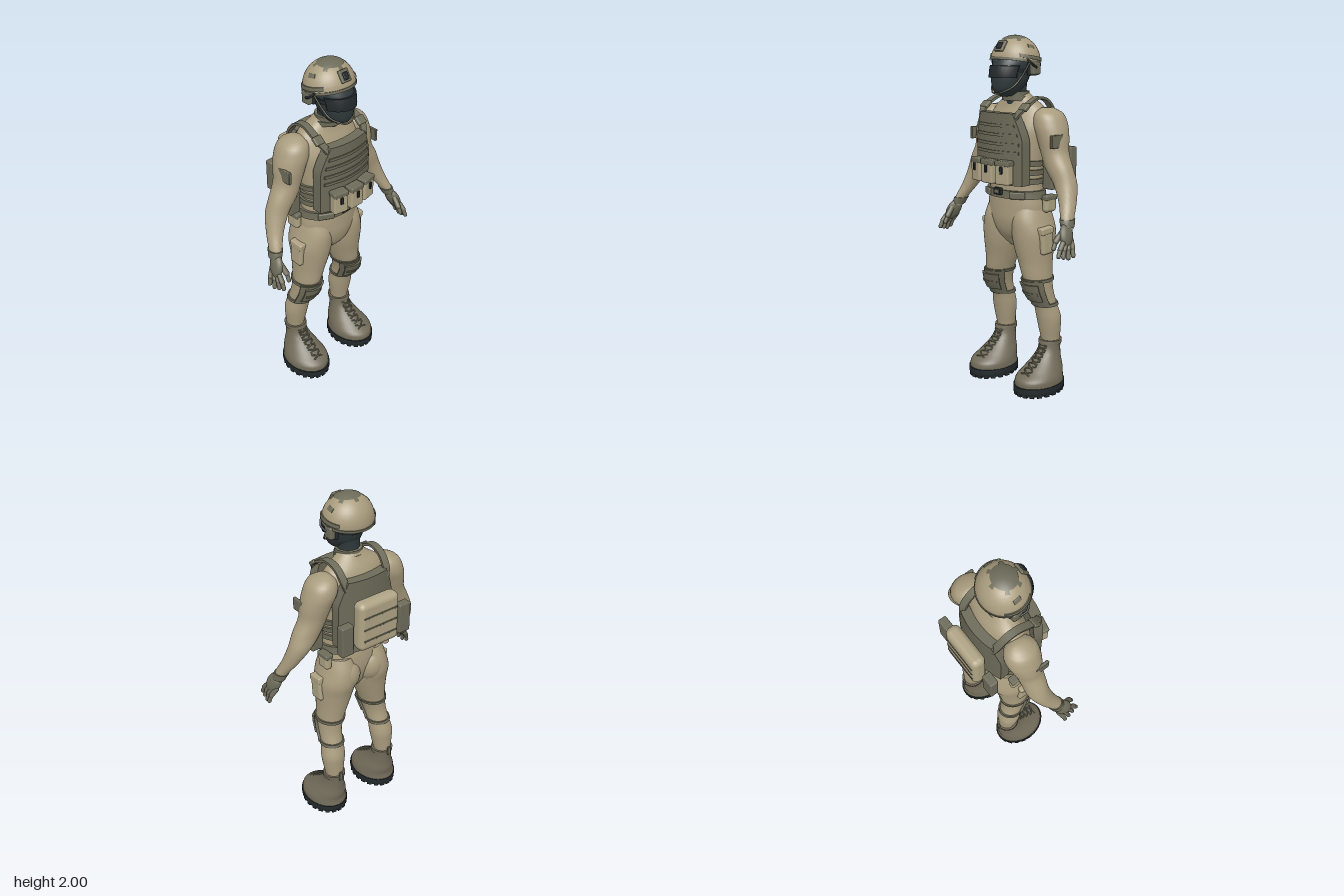
import * as THREE from 'three';
import { toCreasedNormals } from 'three/addons/utils/BufferGeometryUtils.js';
import { RoundedBoxGeometry } from 'three/addons/geometries/RoundedBoxGeometry.js';

const mat = (name, color) => Object.assign(new THREE.MeshStandardMaterial({ color }), { name });
const V = (x, y, z) => new THREE.Vector3(x, y, z);

// Cross-sections, bottom to top: [y, centre x, centre z, radius x, radius z]
const TORSO = [[.83, 0, 0, .04, .05], [.9, 0, .012, .12, .1], [.98, 0, .013, .18, .125], [1.06, 0, .013, .192, .128],
  [1.15, 0, .018, .178, .122], [1.22, 0, .02, .175, .12], [1.32, 0, .015, .185, .125], [1.42, 0, .008, .2, .125],
  [1.5, 0, 0, .212, .122], [1.57, 0, -.01, .2, .105], [1.62, 0, -.012, .165, .085], [1.66, 0, -.002, .105, .068], [1.7, 0, .01, .06, .055]];
const LEG = [[.2, .187, -.075, .05, .05], [.28, .187, -.075, .054, .055], [.36, .186, -.068, .066, .064], [.42, .184, -.062, .072, .07],
  [.5, .176, -.042, .065, .068], [.58, .168, -.012, .067, .078], [.66, .155, 0, .078, .09], [.75, .138, 0, .092, .103],
  [.84, .125, 0, .108, .12], [.92, .118, -.005, .115, .135], [1, .11, -.002, .1, .132], [1.08, .1, 0, .085, .105]];
const ARM = [[1, .45, .075, .025, .035], [1.05, .433, .06, .033, .04], [1.13, .397, .02, .047, .05], [1.22, .352, -.008, .067, .062],
  [1.3, .305, -.01, .083, .068], [1.38, .267, -.015, .08, .075], [1.46, .247, -.02, .087, .09], [1.53, .224, -.025, .09, .098],
  [1.59, .21, -.025, .07, .08], [1.618, .197, -.025, .025, .035]];
const BOOT = [[.05, .193, .022, .122, .16], [.09, .193, .02, .118, .152], [.13, .19, -.012, .1, .125],
  [.18, .188, -.043, .076, .09], [.23, .187, -.065, .062, .068], [.285, .187, -.075, .06, .061]];
const HEAD = [[1.675, 0, .09, .03, .04], [1.7, 0, .09, .065, .075], [1.75, 0, .07, .09, .107],
  [1.81, 0, .057, .099, .118], [1.87, 0, .035, .102, .118], [1.93, 0, .03, .07, .08]];
const NECK = [[1.62, 0, .01, .066, .06], [1.7, 0, .02, .06, .058], [1.8, 0, .025, .07, .07]];
const HELMET = [0, .1, .25, .45, .65, .82, .94, .99].map(t => [.142 * t, 0, 0, .144 * Math.sqrt(1 - t * t), .132 * Math.sqrt(1 - t * t)]);
const mirror = (rings, s) => rings.map(([y, x, ...r]) => [y, x * s, ...r]);

// Smoothly interpolated cross-section at height y
function sample(rings, y) {
  let i = 0;
  while (i < rings.length - 2 && y > rings[i + 1][0]) i++;
  const a = rings[i], b = rings[i + 1], p = rings[i - 1] || a, q = rings[i + 2] || b;
  const h = b[0] - a[0], t = (y - a[0]) / h, u = 1 - t;
  return a.map((v, k) => k === 0 ? y : v * (1 + 2 * t) * u * u + b[k] * t * t * (3 - 2 * t)
    + h * t * u * (u * (b[k] - p[k]) / (b[0] - p[0]) - t * (q[k] - a[k]) / (q[0] - a[0])));
}

// Skin over rows of ellipses; an arc narrower than a full turn tapers to zero thickness at its ends
function skin(rows, { cap = false, from = 0, to = Math.PI * 2, seg = 36 } = {}) {
  const pos = [], idx = [], n = seg + 1, arc = to - from < 6.2;
  for (const [y, cx, cz, rx, rz, off = 0] of rows) for (let j = 0; j < n; j++) {
    const a = from + (to - from) * j / seg, o = arc && (j === 0 || j === seg) ? 0 : off;
    pos.push(cx + (rx + o) * Math.sin(a), y, cz + (rz + o) * Math.cos(a));
  }
  for (let i = 0; i < rows.length - 1; i++) for (let j = 0; j < seg; j++) {
    const a = i * n + j;
    idx.push(a, a + 1, a + n, a + 1, a + n + 1, a + n);
  }
  if (cap) [0, rows.length - 1].forEach((r, top) => {
    const c = pos.length / 3;
    pos.push(rows[r][1], rows[r][0], rows[r][2]);
    for (let j = 0; j < seg; j++) idx.push(c, r * n + j + (top ? 0 : 1), r * n + j + (top ? 1 : 0));
  });
  const g = new THREE.BufferGeometry();
  g.setAttribute('position', new THREE.Float32BufferAttribute(pos, 3));
  g.setIndex(idx);
  return toCreasedNormals(g, .9);
}
function loft(rings, steps = 40) {
  const y0 = rings[0][0], y1 = rings[rings.length - 1][0];
  return skin(Array.from({ length: steps + 1 }, (_, i) => sample(rings, y0 + (y1 - y0) * i / steps)), { cap: true });
}
// Band of cloth or webbing wrapped around a lofted part
function wrap(rings, y0, y1, off, from, to) {
  const rows = [[...sample(rings, y0), 0]];
  for (let i = 0; i <= 6; i++) rows.push([...sample(rings, y0 + (y1 - y0) * i / 6), off]);
  rows.push([...sample(rings, y1), 0]);
  return skin(rows, { from, to });
}
// Box bent around the body, with half width given by height
function bentPlate(y0, y1, z, depth, half, bend) {
  const g = new THREE.BoxGeometry(2, y1 - y0, depth, 14, 14, 1), p = g.attributes.position;
  for (let i = 0; i < p.count; i++) {
    const y = p.getY(i) + (y0 + y1) / 2, x = p.getX(i) * half(y);
    p.setXYZ(i, x, y, p.getZ(i) + z - bend * x * x);
  }
  return toCreasedNormals(g, .6);
}
// Flat strap whose width runs along x
function strap(points, w, t) {
  const c = new THREE.CatmullRomCurve3(points), pos = [], idx = [], N = 28;
  for (let i = 0; i <= N; i++) {
    const p = c.getPoint(i / N), d = c.getTangent(i / N), l = Math.hypot(d.y, d.z), ny = -d.z / l, nz = d.y / l;
    for (const [a, b] of [[-1, -1], [1, -1], [1, 1], [-1, 1]]) pos.push(p.x + a * w / 2, p.y + b * ny * t / 2, p.z + b * nz * t / 2);
    if (i) for (let k = 0; k < 4; k++) {
      const a = (i - 1) * 4 + k, b = (i - 1) * 4 + (k + 1) % 4;
      idx.push(a, a + 4, b, b, a + 4, b + 4);
    }
  }
  const g = new THREE.BufferGeometry();
  g.setAttribute('position', new THREE.Float32BufferAttribute(pos, 3));
  g.setIndex(idx);
  return toCreasedNormals(g, .6);
}
const tube = (pts, r) => new THREE.TubeGeometry(new THREE.CatmullRomCurve3(pts), 20, r, 6);
const rbox = (w, h, d, r = .01) => new RoundedBoxGeometry(w, h, d, 3, r);

export function createModel() {
  const khaki = mat('khaki cloth', 0xa99c7e), tan = mat('tan pouch', 0xaea384), olive = mat('olive webbing', 0x6d6b59);
  const boot = mat('boot suede', 0x716b59), dark = mat('dark balaclava', 0x30393c), black = mat('black rubber', 0x23292b);
  const strapMat = mat('olive strap', 0x6d6b59);
  strapMat.side = THREE.DoubleSide;
  const model = new THREE.Group();
  const add = (name, geo, m, [x, y, z] = [0, 0, 0], [a, b, c] = [0, 0, 0], parent = model) => {
    const o = new THREE.Mesh(geo, m);
    o.name = name;
    o.position.set(x, y, z);
    o.rotation.set(a, b, c);
    parent.add(o);
    return o;
  };
  const capsule = (name, p, q, r, m) => {
    const o = add(name, new THREE.CapsuleGeometry(r, p.distanceTo(q), 5, 10), m, p.clone().lerp(q, .5).toArray());
    o.quaternion.setFromUnitVectors(V(0, 1, 0), q.clone().sub(p).normalize());
  };

  // Body, neck and head
  add('torso', loft(TORSO, 60), khaki);
  add('neck', loft(NECK), dark);
  add('balaclava', loft(HEAD), dark);
  add('collar', wrap(NECK, 1.65, 1.675, .022), olive);
  add('collarRoll', wrap(NECK, 1.675, 1.7, .015), olive);
  add('goggles', wrap(HEAD, 1.775, 1.84, .011, -1.25, 1.25), black);
  add('goggleStrap', wrap(HEAD, 1.8, 1.825, .005), black);

  // Helmet
  const helmet = new THREE.Group();
  helmet.name = 'helmet';
  helmet.position.set(0, 1.858, .025);
  helmet.rotation.x = -.16;
  model.add(helmet);
  const onHelmet = (name, geo, m, p, r) => add(name, geo, m, p, r, helmet);
  onHelmet('helmetShell', loft(HELMET), khaki);
  onHelmet('helmetRim', wrap(HELMET, -.006, .008, .004), olive);
  for (const s of [1, -1]) {
    onHelmet('helmetRail', wrap(HELMET, .014, .034, .006, s * 1.55 - .65, s * 1.55 + .65), olive);
    onHelmet('helmetSidePatch', wrap(HELMET, .075, .092, .003, s * 1.5 - .2, s * 1.5 + .2), olive);
  }
  onHelmet('mountPlate', rbox(.062, .066, .016, .005), olive, [0, .067, .12], [-.42, 0, 0]);
  onHelmet('mountSocket', rbox(.034, .04, .012, .004), black, [0, .068, .129], [-.42, 0, 0]);
  const crown = new THREE.Group();
  crown.name = 'crownPatch';
  crown.scale.set(.146, .144, .134);
  crown.rotation.x = .2;
  helmet.add(crown);
  add('patchDisc', new THREE.SphereGeometry(1, 24, 6, 0, Math.PI * 2, 0, .52), olive, [0, 0, 0], [0, 0, 0], crown);
  for (let i = 0; i < 6; i++) add('patchTab', new THREE.SphereGeometry(1, 4, 3, i * 1.047 + .4, .3, .5, .16), olive, [0, 0, 0], [0, 0, 0], crown);

  // Plate carrier, front and back
  const chest = y => y < 1.44 ? .182 : .182 - .055 * Math.pow((y - 1.44) / .15, 1.3);
  add('frontPlate', bentPlate(1.2, 1.59, .16, .058, chest, 1.2), olive);
  add('backPlate', bentPlate(1.2, 1.59, -.138, .056, chest, -1.2), olive);
  for (const y of [1.37, 1.415, 1.465, 1.515]) add('chestWebbing', bentPlate(y, y + .016, .191, .008, v => chest(v) - .018, 1.2), olive);
  for (const y of [1.2, 1.25, 1.3]) add('cummerbund', wrap(TORSO, y, y + .03, .013), olive);
  for (const i of [-1, 0, 1]) {
    const r = [0, i * .2, 0], at = (y, z) => [i * (.098 + (z - .2) * .2), y, z - Math.abs(i) * .014];
    add('magazinePouch', rbox(.088, .125, .055), tan, at(1.272, .22), r);
    add('pouchFlap', rbox(.092, .03, .06, .008), olive, at(1.325, .22), r);
    add('pouchClip', rbox(.016, .04, .01, .003), black, at(1.29, .251), r);
  }

  // Back pack
  add('backPack', rbox(.265, .29, .085, .034), tan, [0, 1.358, -.217]);
  for (const y of [1.28, 1.35, 1.42]) add('packWebbing', rbox(.22, .01, .008, .003), olive, [0, y, -.259]);

  // Belt
  add('belt', wrap(TORSO, 1.118, 1.162, .014), olive);
  add('beltBuckle', rbox(.058, .04, .02, .005), black, [0, 1.155, .158]);
  add('buckleFace', rbox(.036, .02, .01, .003), olive, [0, 1.155, .166]);

  for (const s of [1, -1]) {
    const leg = mirror(LEG, s), arm = mirror(ARM, s), foot = mirror(BOOT, s), P = (x, y, z) => V(s * x, y, z);
    const put = (name, geo, m, [x, y, z], [a, b, c] = [0, 0, 0]) => add(name, geo, m, [s * x, y, z], [a, s * b, s * c]);

    // Head gear
    put('earCup', rbox(.036, .07, .058, .012), olive, [.132, 1.825, .003]);
    put('earCupPad', rbox(.025, .08, .066, .01), black, [.11, 1.825, .003]);
    add('headsetArm', tube([P(.15, 1.83, .01), P(.155, 1.85, .05), P(.14, 1.875, .07)], .006), black);
    add('chinStrap', tube([P(.13, 1.86, .04), P(.105, 1.78, .08), P(.085, 1.73, .12), P(.03, 1.695, .165), P(0, 1.692, .17)], .005), olive);

    // Shoulder straps and pouches
    add('shoulderStrap', strap([P(.125, 1.56, .16), P(.15, 1.605, .125), P(.155, 1.642, .07), P(.15, 1.668, 0),
      P(.146, 1.65, -.07), P(.14, 1.59, -.122), P(.125, 1.54, -.14)], .042, .014), strapMat);
    put('strapBuckle', rbox(.056, .05, .022, .006), olive, [.155, 1.622, .105], [-.85, 0, 0]);
    put('sidePouch', rbox(.075, .145, .09), olive, [.262, 1.255, -.005]);
    put('sidePouchFlap', rbox(.08, .03, .094, .006), olive, [.262, 1.32, -.005]);
    put('backPouch', rbox(.078, .18, .05, .008), olive, [.195, 1.3, -.205]);
    put('beltPouch', rbox(.09, .04, .026, .008), olive, [.115, 1.138, .122], [0, .5, 0]);
    put('hipPouch', rbox(.045, .09, .085, .02), tan, [.207, 1.085, -.035]);
    put('hipPouchFlap', rbox(.05, .028, .088, .008), olive, [.206, 1.122, -.035]);

    // Arm and gloved hand
    add('arm', loft(arm, 50), khaki);
    put('sleevePatch', rbox(.018, .07, .085, .004), olive, [.322, 1.447, .03]);
    add('gloveCuff', wrap(arm, 1.01, 1.05, .006), olive);
    const palm = put('palm', new THREE.SphereGeometry(1, 20, 14), olive, [.462, .975, .098], [-.45, 0, .35]);
    palm.scale.set(.027, .068, .047);
    for (let i = 0; i < 4; i++) {
      const z = .068 + i * .025, knuckle = P(.468 + i * .004, .945 - i * .002, z);
      const joint = P(.494 - i * .003, .905 + (i === 3 ? .006 : 0), z + .015 + i * .003), tip = P(.506 - i * .006, .86 + Math.abs(i - 1) * .008, z + .022 + i * .006);
      capsule('finger', knuckle, joint, .0145, olive);
      capsule('fingerTip', joint, tip, .012, olive);
    }
    capsule('thumb', P(.452, .99, .12), P(.445, .945, .16), .016, olive);
    capsule('thumbTip', P(.445, .945, .16), P(.447, .91, .178), .012, olive);

    // Leg, seat, pocket and knee pad
    add('leg', loft(leg, 60), khaki);
    put('seat', new THREE.SphereGeometry(1, 24, 18), khaki, [.085, .96, -.045]).scale.set(.09, .11, .098);
    put('thighPocket', rbox(.045, .15, .085, .016), tan, [.226, .885, .01], [.08, 0, 0]);
    put('pocketFlap', rbox(.05, .04, .09, .01), tan, [.227, .945, .014], [.08, 0, 0]);
    for (const y of [.645, .495]) add('kneeStrap', wrap(leg, y, y + .018, .008), olive);
    add('kneePad', wrap(leg, .5, .655, .014, -1.25, 1.25), olive);
    add('kneeShell', wrap(leg, .535, .635, .026, -.85, .85), olive);
    add('kneeRidge', wrap(leg, .575, .59, .031, -.7, .7), olive);

    // Boot with laces, sole and cleats
    add('boot', loft(foot), boot);
    add('bootCollar', wrap(foot, .262, .285, .006), boot);
    put('bootTab', rbox(.022, .06, .012, .004), boot, [.187, .285, -.142]);
    for (let i = 0; i < 7; i++) {
      const y = .115 + i * .023, at = (dx, dy) => {
        const [, cx, cz, rx, rz] = sample(BOOT, y + dy);
        return P(cx + dx, y + dy, cz + rz * Math.sqrt(1 - (dx / rx) ** 2) + .002);
      };
      add('lace', tube([at(-.032, 0), at(0, .008), at(.032, .018)], .0045), olive);
      add('lace', tube([at(-.032, .018), at(0, .008), at(.032, 0)], .0045), olive);
    }
    add('sole', loft(mirror([[.008, .193, .024, .12, .158], [.025, .193, .024, .126, .165], [.055, .193, .024, .125, .165]], s), 6), black);
    for (let i = 0; i < 20; i++) {
      const a = i * Math.PI / 10;
      put('cleat', new THREE.BoxGeometry(.026, .036, .02), black, [.193 + .113 * Math.sin(a), .018, .024 + .151 * Math.cos(a)], [0, a, 0]);
    }
    for (const z of [-.08, -.02, .05, .11]) put('treadBar', new THREE.BoxGeometry(.13, .012, .03), black, [.193, .006, z]);
  }
  return model;
}
